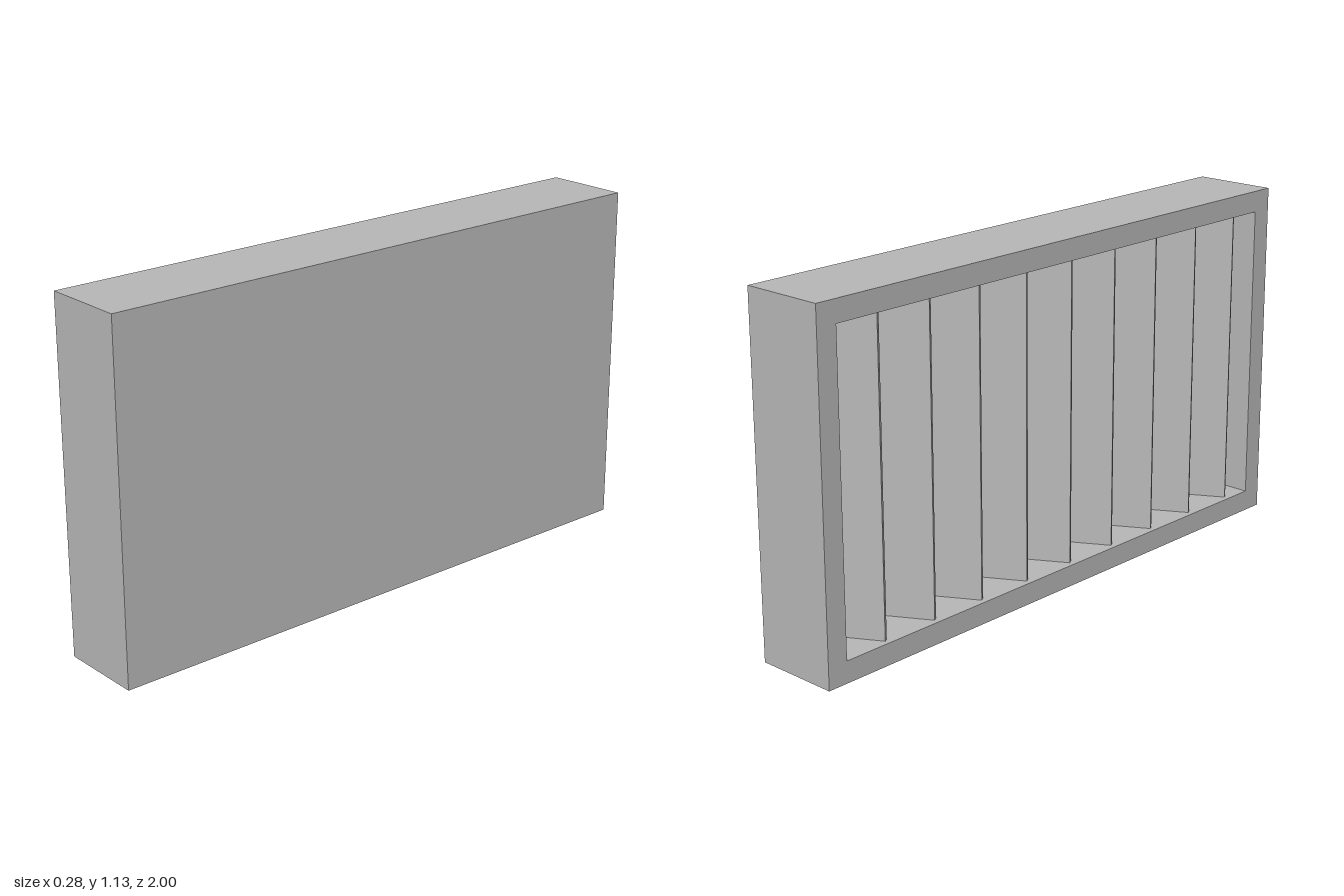
import * as THREE from 'three';

export function createModel() {
  const W = 0.28, H = 1.13, L = 2, T = 0.07; // width, height, length, rim
  const grey = new THREE.MeshStandardMaterial({ color: 0xb8b8b8 });
  grey.name = 'plain grey';
  const model = new THREE.Group();
  model.name = 'louvredPanel';

  const addBox = (name, w, h, d, x, y, z, turn = 0) => {
    const mesh = new THREE.Mesh(new THREE.BoxGeometry(w, h, d), grey);
    mesh.name = name;
    mesh.position.set(x, y, z);
    mesh.rotation.y = turn;
    model.add(mesh);
  };

  // Casing: a rectangular frame, extruded along x
  const outline = new THREE.Shape([
    new THREE.Vector2(-L / 2, 0), new THREE.Vector2(L / 2, 0),
    new THREE.Vector2(L / 2, H), new THREE.Vector2(-L / 2, H),
  ]);
  outline.holes.push(new THREE.Path([
    new THREE.Vector2(-L / 2 + T, T), new THREE.Vector2(-L / 2 + T, H - T),
    new THREE.Vector2(L / 2 - T, H - T), new THREE.Vector2(L / 2 - T, T),
  ]));
  const frameGeometry = new THREE.ExtrudeGeometry(outline, { depth: W, bevelEnabled: false });
  frameGeometry.rotateY(-Math.PI / 2).translate(W / 2, 0, 0);
  const frame = new THREE.Mesh(frameGeometry, grey);
  frame.name = 'frame';
  model.add(frame);

  // Closed panel on the +x side, set inside the frame
  addBox('closedPanel', T, H - 2 * T, L - 2 * T, W / 2 - T / 2, H / 2, 0);

  // Nine upright slats, each turned 30 degrees in the open side
  for (let i = 0; i < 9; i++) {
    addBox('slat' + (i + 1), 0.16, H - 2 * T, 0.015, -0.05, H / 2, -0.8 + i * 0.2, Math.PI / 6);
  }
  return model;
}
